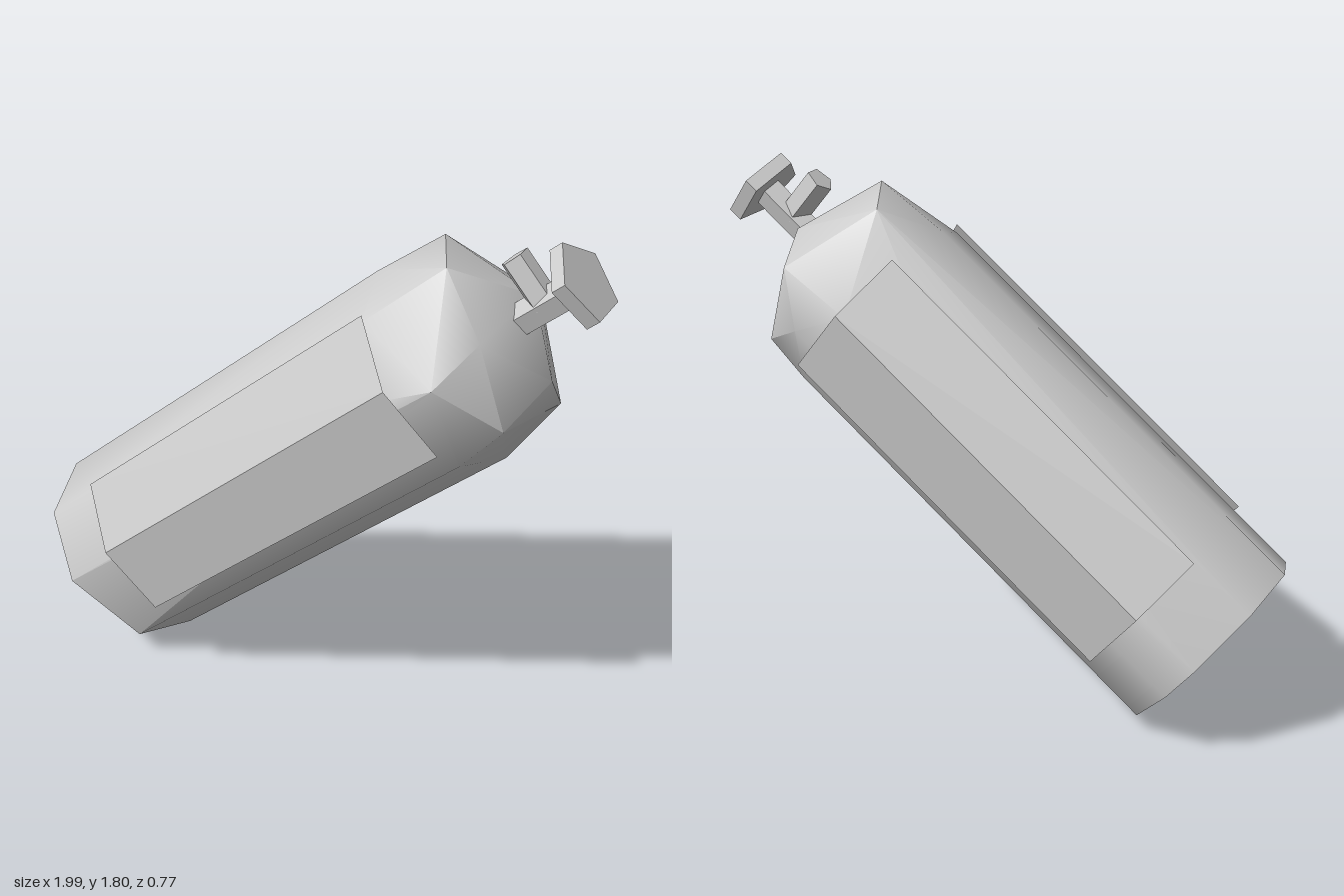
import * as THREE from 'three';
import { toCreasedNormals } from 'three/addons/utils/BufferGeometryUtils.js';
import { ConvexGeometry } from 'three/addons/geometries/ConvexGeometry.js';

const metal = new THREE.MeshStandardMaterial({ color: 0xcccccc, side: THREE.DoubleSide });
metal.name = 'grey metal';

function addMesh(parent, name, geometry) {
  const mesh = new THREE.Mesh(geometry, metal);
  mesh.name = name;
  parent.add(mesh);
  return mesh;
}

// faceted tank: uneven ring at base and shoulder, closed by an irregular dome
function tankGeometry() {
  const angles = [0, 43, 97, 139, 180, 218, 258, 281, 322];
  const points = [];
  for (const y of [0, 1.6]) {
    for (const deg of angles) {
      const t = THREE.MathUtils.degToRad(deg);
      points.push(new THREE.Vector3(0.366 * Math.cos(t), y, 0.366 * Math.sin(t)));
    }
  }
  const dome = [
    [-0.337, 1.784, -0.16], [-0.27, 1.897, 0.13], [0, 1.878, -0.28],
    [-0.03, 1.97, -0.09], [0.21, 1.924, 0.04], [0.323, 1.79, -0.15],
    [0, 1.756, 0.37], [-0.03, 1.903, 0.23], [0.24, 1.8, 0.24], [0.1, 1.7, -0.35],
  ];
  for (const p of dome) points.push(new THREE.Vector3(...p));
  return toCreasedNormals(new ConvexGeometry(points), 0.78);
}

// folded label sheet of two flat strips, on the side given by sign
function panelGeometry(sign) {
  const profile = [[-0.295, 0.25], [-0.075, 0.387], [0.188, 0.347]];
  const pos = [];
  for (let i = 0; i < 2; i++) {
    const [x0, z0] = profile[i], [x1, z1] = profile[i + 1];
    const a = [x0, 0.247, z0 * sign], b = [x1, 0.247, z1 * sign];
    const c = [x1, 1.622, z1 * sign], d = [x0, 1.622, z0 * sign];
    const quad = sign > 0 ? [a, b, c, a, c, d] : [a, c, b, a, d, c];
    pos.push(...quad.flat());
  }
  const g = new THREE.BufferGeometry();
  g.setAttribute('position', new THREE.Float32BufferAttribute(pos, 3));
  g.computeVertexNormals();
  return g;
}

// flat-sided prism along y, with one corner towards -x
function prism(radius, y0, y1, sides = 5) {
  const g = new THREE.CylinderGeometry(radius, radius, y1 - y0, sides);
  g.rotateY(-Math.PI / 2);
  g.translate(0, (y0 + y1) / 2, 0);
  return toCreasedNormals(g, 0.5);
}

export function createModel() {
  const model = new THREE.Group();
  model.name = 'gasCylinder';

  // everything is built upright, then leaned over
  const leaning = new THREE.Group();
  leaning.name = 'leaningCylinder';
  leaning.position.set(-0.765, 0.282, 0);
  leaning.rotation.z = -THREE.MathUtils.degToRad(50);
  model.add(leaning);

  addMesh(leaning, 'tank', tankGeometry());
  addMesh(leaning, 'leftPanel', panelGeometry(1));
  addMesh(leaning, 'rightPanel', panelGeometry(-1));

  // valve: stem, pentagonal handwheel and side outlet
  addMesh(leaning, 'valveStem', prism(0.055, 1.88, 2.16));
  addMesh(leaning, 'handwheel', prism(0.14, 2.15, 2.2));
  const outlet = addMesh(leaning, 'valveOutlet', prism(0.05, 0, 0.178));
  outlet.position.y = 2.035;
  outlet.rotation.z = Math.PI / 2;

  return model;
}
